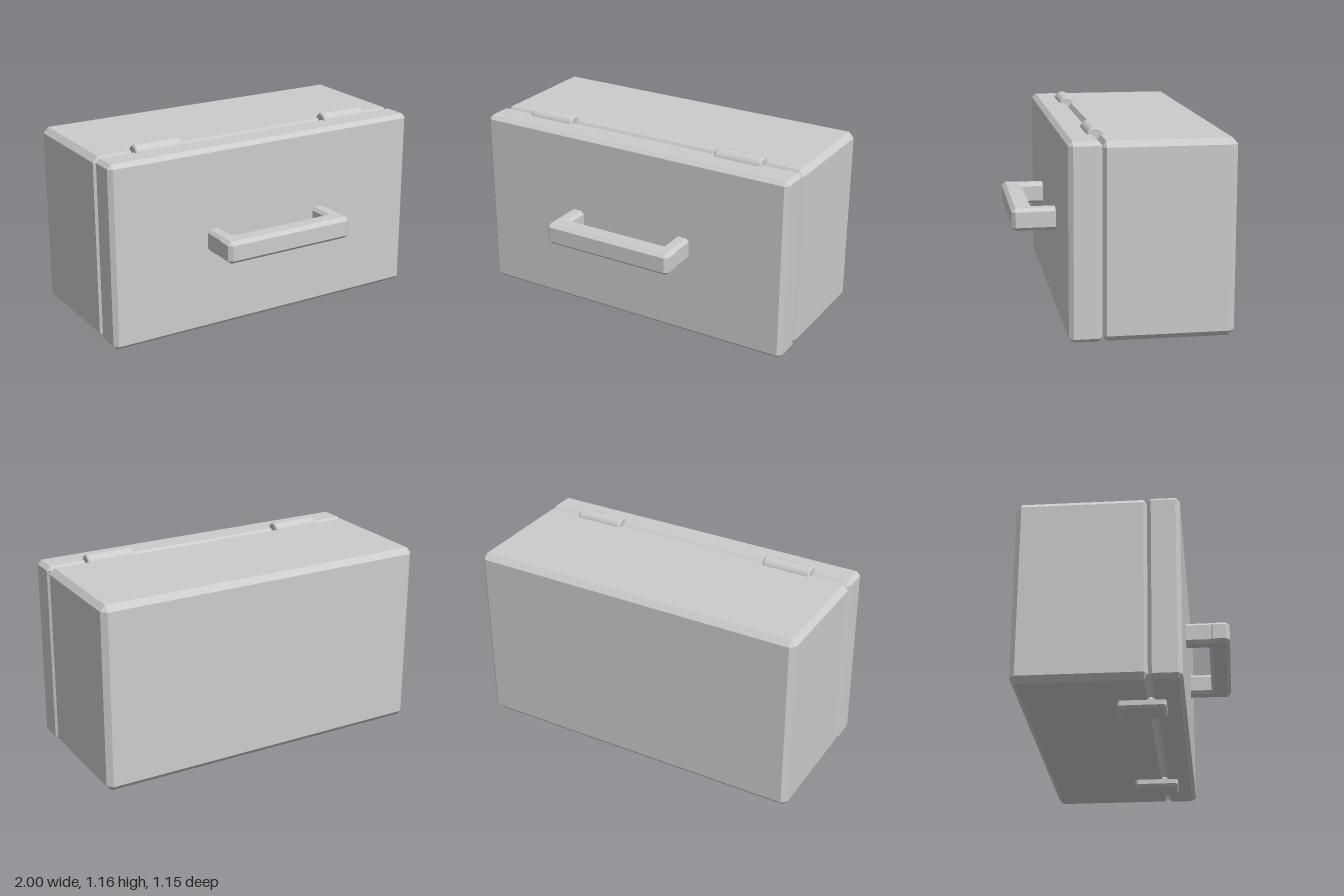
import * as THREE from 'three';
import { ConvexGeometry } from 'three/addons/geometries/ConvexGeometry.js';

const grey = new THREE.MeshStandardMaterial({ color: 0xcccccc });
grey.name = 'plain grey';

// Box with every edge chamfered; cz may differ at the back and front
function chamferBox(name, [x0, x1], [y0, y1], [z0, z1], cx, cy, czBack, czFront = czBack) {
  const points = [];
  for (const [x, ix] of [[x0, x0 + cx], [x1, x1 - cx]])
    for (const [y, iy] of [[y0, y0 + cy], [y1, y1 - cy]])
      for (const [z, iz] of [[z0, z0 + czBack], [z1, z1 - czFront]])
        points.push(
          new THREE.Vector3(x, iy, iz),
          new THREE.Vector3(ix, y, iz),
          new THREE.Vector3(ix, iy, z)
        );
  const mesh = new THREE.Mesh(new ConvexGeometry(points), grey);
  mesh.name = name;
  return mesh;
}

// Round barrel along x with chamfered ends; doubled points keep the rims sharp
function barrel(name, length, radius, chamfer) {
  const h = length / 2, r = radius - chamfer;
  const profile = [
    [0, -h], [r, -h], [r, -h], [radius, -h + chamfer], [radius, -h + chamfer],
    [radius, h - chamfer], [radius, h - chamfer], [r, h], [r, h], [0, h],
  ].map(([x, y]) => new THREE.Vector2(x, y));
  const geometry = new THREE.LatheGeometry(profile, 32);
  geometry.rotateZ(Math.PI / 2);
  const mesh = new THREE.Mesh(geometry, grey);
  mesh.name = name;
  return mesh;
}

export function createModel() {
  const model = new THREE.Group();
  model.name = 'case';

  // Deep shell and shallow lid, meeting at a V groove
  model.add(chamferBox('shell', [-1, 1], [0.045, 1.127], [-0.575, 0.145], 0.03, 0.033, 0.03, 0.02));
  model.add(chamferBox('lid', [-1, 1], [0.045, 1.127], [0.145, 0.325], 0.023, 0.023, 0.022, 0.025));

  // Carrying handle
  const handle = new THREE.Group();
  handle.name = 'handle';
  handle.add(chamferBox('grip', [-0.408, 0.408], [0.523, 0.653], [0.455, 0.575], 0.022, 0.02, 0.022));
  for (const side of [-1, 1]) {
    const xs = [side * 0.315, side * 0.402].sort((a, b) => a - b);
    handle.add(chamferBox('handleArm', xs, [0.524, 0.652], [0.29, 0.53], 0.017, 0.018, 0.017));
  }
  model.add(handle);

  // Hinges on top and latches underneath
  for (const side of [-1, 1]) {
    const hinge = barrel('hinge', 0.29, 0.048, 0.008);
    hinge.position.set(side * 0.625, 1.117, 0.15);
    model.add(hinge);

    const xs = [side * 0.537, side * 0.712].sort((a, b) => a - b);
    model.add(chamferBox('latch', xs, [0.003, 0.065], [-0.04, 0.225], 0.014, 0.014, 0.014));
  }
  return model;
}
